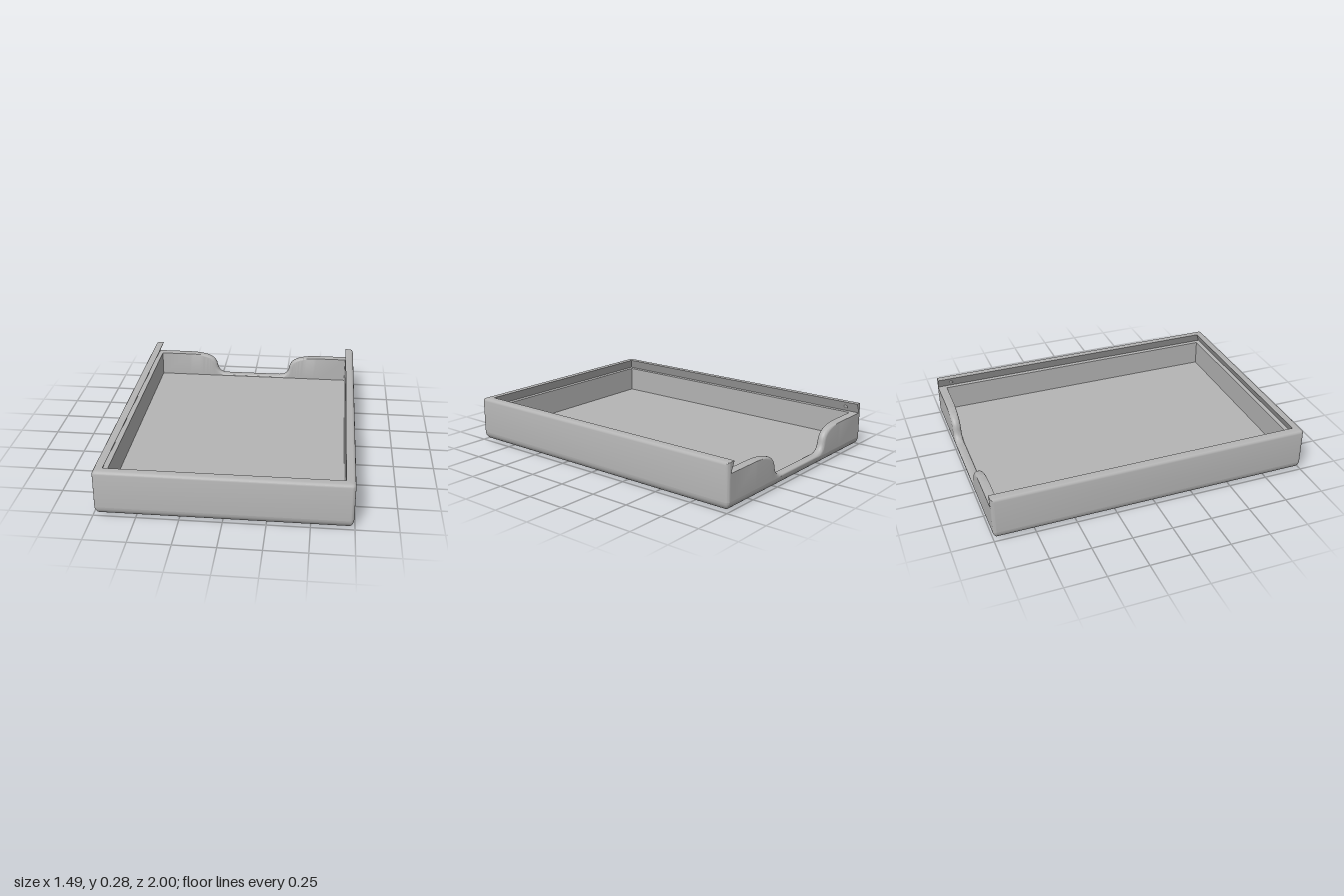
import * as THREE from 'three';
import { toCreasedNormals } from 'three/addons/utils/BufferGeometryUtils.js';

const HX = 0.743, HZ = 1;      // outer half sizes
const R = 0.022;               // vertical corner radius
const FLOOR = 0.055, RIM = 0.22, TOP = 0.285, WALL = 0.055;

const grey = new THREE.MeshStandardMaterial({ color: 0xb4b4b4 });
grey.name = 'grey plastic';

// Surface through rows of points, with creased normals
function grid(rows) {
  const pos = [], n = new THREE.Vector3(), e = new THREE.Vector3();
  const tri = (a, b, c) => {
    n.subVectors(b, a).cross(e.subVectors(c, a));
    if (n.length() > 1e-10) for (const p of [a, b, c]) pos.push(p.x, p.y, p.z);
  };
  for (let i = 0; i < rows.length - 1; i++) {
    for (let j = 0; j < rows[i].length - 1; j++) {
      const a = rows[i][j], b = rows[i + 1][j], c = rows[i + 1][j + 1], d = rows[i][j + 1];
      tri(a, b, c);
      tri(a, c, d);
    }
  }
  const g = new THREE.BufferGeometry();
  g.setAttribute('position', new THREE.Float32BufferAttribute(pos, 3));
  return toCreasedNormals(g, 0.6);
}

// Closed rounded rectangle, inset by d, at height y
function ring(d, y) {
  const pts = [], r = Math.max(R - d, 0.002), hx = HX - d - r, hz = HZ - d - r;
  [[1, 1], [-1, 1], [-1, -1], [1, -1]].forEach(([sx, sz], q) => {
    for (let k = 0; k <= 6; k++) {
      const a = (q + k / 6) * Math.PI / 2;
      pts.push(new THREE.Vector3(sx * hx + r * Math.cos(a), y, sz * hz + r * Math.sin(a)));
    }
  });
  pts.push(pts[0].clone());
  return pts;
}

// Floor slab with rounded underside
function floorGeometry() {
  const rows = [], centre = (y) => ring(0, y).map(() => new THREE.Vector3(0, y, 0));
  rows.push(centre(0));
  for (let k = 0; k <= 8; k++) {
    const a = k / 8 * Math.PI / 2;
    rows.push(ring(FLOOR * (1 - Math.sin(a)), FLOOR * (1 - Math.cos(a))));
  }
  rows.push(centre(FLOOR));
  return grid(rows);
}

// Wall section (inset, height): rounded outer top edge, undercut lid groove
const section = [
  [0, FLOOR], [0, TOP - 0.018], [0.0025, TOP - 0.009], [0.009, TOP - 0.0025], [0.018, TOP],
  [WALL, TOP], [0.025, RIM], [WALL, RIM], [WALL, FLOOR],
];

// Stations along the U of left, front and right walls
function wallGeometry() {
  const half = [];
  for (let k = 0; k <= 6; k++) {           // rounded rear end
    const b = k / 6 * Math.PI / 2;
    half.push((d) => [HX - Math.max(d, R * (1 - Math.sin(b))), -HZ + R * (1 - Math.cos(b))]);
  }
  for (let k = 0; k <= 6; k++) {           // front corner
    const a = k / 6 * Math.PI / 2;
    half.push((d) => {
      const r = Math.max(R - d, 0);
      return [HX - d - r * (1 - Math.cos(a)), HZ - d - r * (1 - Math.sin(a))];
    });
  }
  const mirrored = half.map((f) => (d) => [-f(d)[0], f(d)[1]]).reverse();
  return grid(section.map(([d, y]) => [...half, ...mirrored].map((f) => {
    const [x, z] = f(d);
    return new THREE.Vector3(x, y, z);
  })));
}

// Flat rear face of a side wall
function wallEndGeometry(side) {
  const shape = new THREE.Shape(section.map(([d, y]) =>
    new THREE.Vector2(-side * (HX - Math.max(d, R)), y)));
  return new THREE.ShapeGeometry(shape).rotateY(Math.PI).translate(0, 0, -HZ);
}

// Low back wall with a finger notch whose edge is rounded over
function backWallGeometry() {
  const X = HX - WALL, low = FLOOR + 0.011;
  const V = (x, y) => new THREE.Vector2(x, y);
  const leftHalf = [
    V(-X, RIM),
    ...new THREE.CubicBezierCurve(V(-0.48, RIM), V(-0.33, RIM), V(-0.285, 0.2), V(-0.272, 0.135)).getPoints(16),
    ...new THREE.CubicBezierCurve(V(-0.272, 0.135), V(-0.262, 0.085), V(-0.24, low), V(-0.17, low)).getPoints(12).slice(1),
  ];
  const path = [...leftHalf, ...leftHalf.map((p) => V(-p.x, p.y)).reverse()];
  const z0 = -HZ + WALL, z1 = -HZ;
  const rows = path.map((p, i) => {
    const t = path[Math.min(i + 1, path.length - 1)].clone().sub(path[Math.max(i - 1, 0)]).normalize();
    if (Math.abs(p.x) > 0.47) t.set(1, 0);
    const ax = Math.abs(p.x);
    const f = ax > 0.27 ? 0.024 * (1 - THREE.MathUtils.smoothstep(ax, 0.28, 0.47))
      : 0.01 + 0.014 * THREE.MathUtils.smoothstep(ax, 0.17, 0.27);
    const at = (drop, z) => new THREE.Vector3(p.x + t.y * drop, p.y - t.x * drop, z);
    const row = [];
    for (let k = 0; k <= 5; k++) {
      const a = k / 5 * Math.PI / 2;
      row.push(at(f * (1 - Math.sin(a)), z0 - f * (1 - Math.cos(a))));
    }
    for (let k = 5; k >= 0; k--) {
      const a = k / 5 * Math.PI / 2;
      row.push(at(f * (1 - Math.sin(a)), z1 + f * (1 - Math.cos(a))));
    }
    row.unshift(new THREE.Vector3(row[0].x, FLOOR, z0));
    row.push(new THREE.Vector3(row[0].x === undefined ? p.x : row[row.length - 1].x, FLOOR, z1));
    return row;
  });
  return grid(rows);
}

export function createModel() {
  const model = new THREE.Group();
  model.name = 'slidingLidTray';
  const add = (geometry, name) => {
    const mesh = new THREE.Mesh(geometry, grey);
    mesh.name = name;
    model.add(mesh);
    return mesh;
  };
  add(floorGeometry(), 'floor');
  add(wallGeometry(), 'groovedWalls');
  add(backWallGeometry(), 'notchedBackWall');
  for (const side of [1, -1]) {
    const label = side > 0 ? 'left' : 'right';
    add(wallEndGeometry(side), label + 'WallEnd');
    // Small lid catch inside the groove
    const bump = add(new THREE.SphereGeometry(0.013, 16, 10), label + 'LidCatch');
    bump.position.set(side * (HX - 0.038), 0.25, -0.91);
    bump.rotation.z = side * 0.43;
    bump.scale.x = 0.5;
  }
  return model;
}
